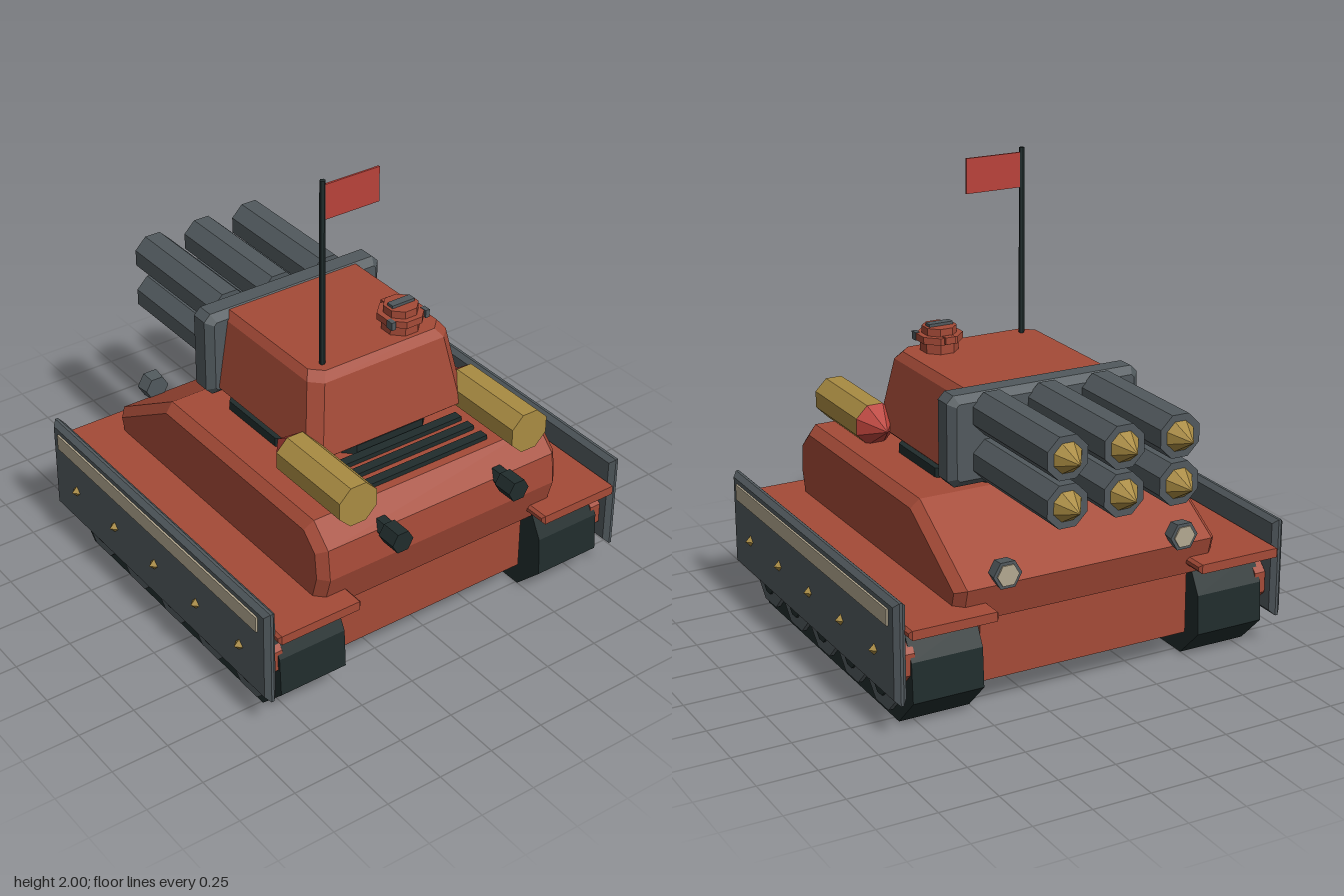
import * as THREE from 'three';

const mat = (name, color) => Object.assign(new THREE.MeshStandardMaterial({ color }), { name });

export function createModel() {
  const red = mat('hullRed', 0xa44a37);
  const grey = mat('steelGrey', 0x51595d);
  const dark = mat('darkRubber', 0x202c2c);
  const gold = mat('brass', 0xa98b42);
  const bright = mat('signalRed', 0xb9423a);
  const beige = mat('paleBeige', 0xb3a890);
  const model = new THREE.Group();
  model.name = 'rocketTank';

  // Faceted mesh at a position
  function add(name, geometry, material, x = 0, y = 0, z = 0) {
    const g = geometry.index ? geometry.toNonIndexed() : geometry;
    g.computeVertexNormals();
    const mesh = new THREE.Mesh(g, material);
    mesh.name = name;
    mesh.position.set(x, y, z);
    model.add(mesh);
    return mesh;
  }
  const box = (w, h, d) => new THREE.BoxGeometry(w, h, d);

  // Outline of [u, v] points extruded to a total depth, centred, with chamfered edges
  function slab(points, depth, bevel) {
    const shape = new THREE.Shape(points.map(([u, v]) => new THREE.Vector2(u, v)));
    const g = new THREE.ExtrudeGeometry(shape, {
      depth: depth - 2 * bevel, bevelEnabled: bevel > 0, bevelSize: bevel,
      bevelThickness: bevel, bevelOffset: -bevel, bevelSegments: 1,
    });
    return g.translate(0, 0, -(depth - 2 * bevel) / 2);
  }
  // Outline of [z, y] points extruded across x
  const sideSlab = (points, width, bevel) => slab(points, width, bevel).rotateY(-Math.PI / 2);
  const rect = (u0, u1, v0, v1) => [[u0, v0], [u1, v0], [u1, v1], [u0, v1]];

  // Prism with flats facing the axes; r is the distance to a flat
  function prism(r0, r1, length, sides = 8) {
    const k = 1 / Math.cos(Math.PI / sides);
    return new THREE.CylinderGeometry(r1 * k, r0 * k, length, sides).rotateY(Math.PI / sides);
  }
  const alongZ = (g) => g.rotateX(-Math.PI / 2); // top end points to -z
  const alongX = (g) => g.rotateZ(-Math.PI / 2); // top end points to +x

  // Hull
  add('lowerHull', box(0.96, 0.32, 1.38), red, 0, 0.28, 0.09);
  add('upperHull', sideSlab([
    [-0.61, 0.39], [0.82, 0.39], [0.87, 0.565], [0.855, 0.70],
    [0.76, 0.79], [-0.25, 0.79], [-0.655, 0.545],
  ], 1.2, 0.038), red);

  // Running gear, fenders and side armour
  for (const s of [1, -1]) {
    add('track', sideSlab([
      [-0.54, 0], [0.76, 0], [0.89, 0.13], [0.88, 0.3], [0.82, 0.41],
      [-0.6, 0.41], [-0.66, 0.3], [-0.67, 0.13],
    ], 0.31, 0), dark, s * 0.655);
    for (let i = 0; i < 5; i++) {
      const z = 0.69 - i * 0.28;
      add('roadWheel', alongX(prism(0.14, 0.14, 0.03)), grey, s * 0.815, 0.17, z);
      add('wheelHub', alongX(prism(0.05, 0.05, 0.04)), dark, s * 0.82, 0.13, z);
      add('armourBolt', new THREE.OctahedronGeometry(0.026), gold, s * 0.895, 0.32, 0.73 - i * 0.31);
    }
    for (const z of [0.76, -0.54]) {
      add('driveSprocket', alongX(prism(0.11, 0.11, 0.05)), red, s * 0.815, 0.29, z);
    }
    add('fender', sideSlab(rect(-0.73, 0.94, 0.43, 0.47), 0.39, 0.012), red, s * 0.655);
    add('sideArmour', sideSlab(rect(-0.70, 0.92, 0.15, 0.58), 0.052, 0.02), grey, s * 0.87);
    add('armourStripe', box(0.009, 0.07, 1.5), beige, s * 0.9, 0.505, 0.11);

    // Exhaust pipes
    add('exhaust', new THREE.CylinderGeometry(0.04, 0.04, 0.14, 6).rotateY(Math.PI / 6).rotateX(Math.PI / 2),
      dark, s * 0.29, 0.695, 0.88);
    add('exhaustCollar', new THREE.CylinderGeometry(0.05, 0.05, 0.09, 6).rotateY(Math.PI / 6).rotateX(Math.PI / 2),
      dark, s * 0.29, 0.695, 0.925);

    // Headlights
    add('headlight', alongZ(prism(0.048, 0.055, 0.06, 6)), grey, s * 0.405, 0.595, -0.66);
    add('headlightLens', alongZ(prism(0.042, 0.042, 0.008, 6)), beige, s * 0.405, 0.595, -0.692);

    // Rear canisters with pointed ends
    add('canister', alongZ(prism(0.088, 0.088, 0.42)), gold, s * 0.425, 0.867, 0.65);
    add('canisterTip', alongZ(prism(0.088, 0, 0.12)), bright, s * 0.425, 0.867, 0.38);
  }

  // Engine grille
  for (const z of [0.535, 0.615, 0.70]) add('grilleBar', box(0.65, 0.03, 0.042), dark, 0, 0.795, z);

  // Turret lofted from chamfered rectangles: [y, half width, front z, back z]
  const rings = [
    [0.81, 0.35, -0.2, 0.475], [0.85, 0.395, -0.2, 0.52],
    [1.155, 0.345, -0.2, 0.46], [1.19, 0.32, -0.2, 0.43],
  ].map(([y, w, z0, z1]) => {
    const c = 0.05;
    return [[-w, z0], [-w, z1 - c], [-w + c, z1], [w - c, z1], [w, z1 - c], [w, z0]]
      .map(([x, z]) => [x, y, z]);
  });
  const pos = [];
  const tri = (a, b, c) => pos.push(...a, ...b, ...c);
  for (let i = 0; i < rings.length - 1; i++) {
    for (let j = 0; j < 6; j++) {
      const k = (j + 1) % 6, lo = rings[i], hi = rings[i + 1];
      tri(lo[j], lo[k], hi[k]);
      tri(lo[j], hi[k], hi[j]);
    }
  }
  for (let j = 1; j < 5; j++) {
    tri(rings[3][0], rings[3][j], rings[3][j + 1]);
    tri(rings[0][0], rings[0][j + 1], rings[0][j]);
  }
  const turret = new THREE.BufferGeometry();
  turret.setAttribute('position', new THREE.Float32BufferAttribute(pos, 3));
  add('turret', turret, red);
  add('turretRing', prism(0.4, 0.4, 0.05), dark, 0, 0.805, 0.1);

  // Rocket launcher
  const w = 0.44, c = 0.03;
  add('launcherPlate', slab([
    [-w + c, 0.81], [w - c, 0.81], [w, 0.81 + c], [w, 1.195 - c],
    [w - c, 1.195], [-w + c, 1.195], [-w, 1.195 - c], [-w, 0.81 + c],
  ], 0.135, 0.03), grey, 0, 0, -0.215);
  for (const x of [-0.25, 0, 0.25]) {
    for (const y of [0.915, 1.11]) {
      add('rocketTube', alongZ(prism(0.088, 0.088, 0.6)), grey, x, y, -0.575);
      add('rocketTip', alongZ(prism(0.06, 0, 0.095)), gold, x, y, -0.9225);
    }
  }

  // Commander's hatch
  add('hatchBase', prism(0.075, 0.075, 0.06), red, 0.17, 1.21, 0.335);
  add('hatchRim', prism(0.092, 0.092, 0.03), red, 0.17, 1.25, 0.335);
  add('hatchLid', prism(0.068, 0.068, 0.035), red, 0.17, 1.28, 0.335);
  add('hatchHandle', box(0.11, 0.014, 0.036), grey, 0.17, 1.303, 0.335);
  add('hatchHinge', box(0.045, 0.03, 0.03), red, 0.17, 1.255, 0.245);
  for (const s of [1, -1]) add('periscope', box(0.02, 0.035, 0.035), grey, 0.17 + s * 0.085, 1.25, 0.385);

  // Antenna and flag
  add('antenna', new THREE.CylinderGeometry(0.012, 0.012, 0.82, 6), dark, -0.25, 1.59, 0.38);
  add('flag', box(0.255, 0.15, 0.009), bright, -0.113, 1.905, 0.38);

  return model;
}
